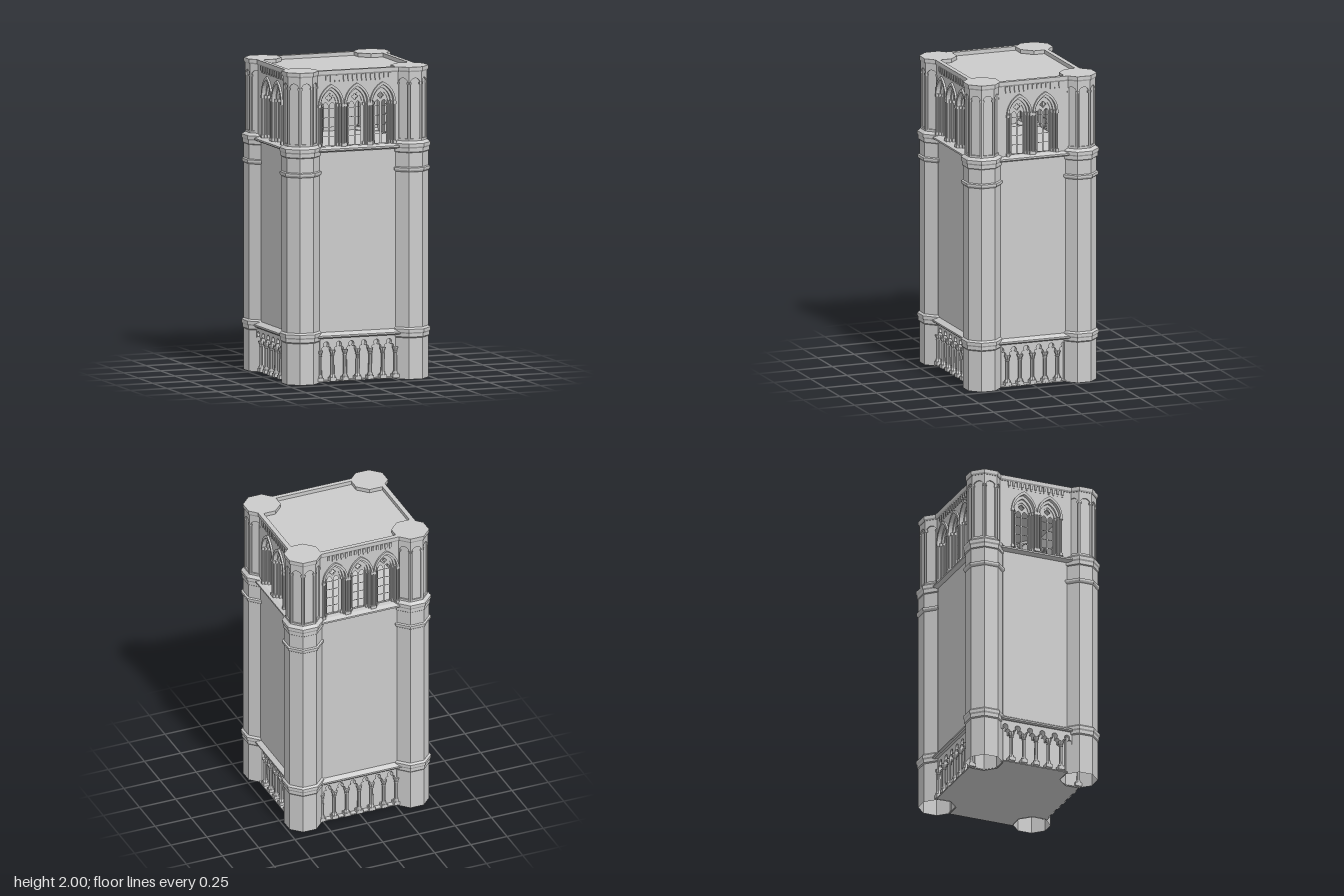
import * as THREE from 'three';

const mat = new THREE.MeshStandardMaterial({ color: 0xcccccc, flatShading: true });
const shellMat = new THREE.MeshStandardMaterial({ color: 0xcccccc, flatShading: true, side: THREE.DoubleSide });

function add(parent, name, geo, x = 0, y = 0, z = 0, m = mat) {
  const mesh = new THREE.Mesh(geo, m);
  mesh.name = name;
  mesh.position.set(x, y, z);
  parent.add(mesh);
  return mesh;
}
const box = (w, h, d) => new THREE.BoxGeometry(w, h, d);
const rod = (r, h) => new THREE.CylinderGeometry(r, r, h, 8);
const lathe = (pts, n) => new THREE.LatheGeometry(pts.map(p => new THREE.Vector2(...p)), n, Math.PI / n);
const poly = pts => new THREE.Shape(pts.map(p => new THREE.Vector2(...p)));
const rect = (w, y0, y1) => poly([[-w, y0], [w, y0], [w, y1], [-w, y1]]);

function plate(shape, z0, z1) {
  const g = new THREE.ExtrudeGeometry(shape, { depth: z1 - z0, bevelEnabled: false, curveSegments: 8 });
  return g.translate(0, 0, z0);
}

// Horizontal slab whose corners are notched around the four turrets
function slab(dx, dz, y0, y1, ix = 0.265, iz = 0.222) {
  const q = [[ix, dz], [ix, 0.282], [0.322, iz], [dx, iz]];
  const r = [...q].reverse();
  const pts = [...q, ...r.map(([x, z]) => [x, -z]), ...q.map(([x, z]) => [-x, -z]), ...r.map(([x, z]) => [-x, z])];
  return plate(poly(pts), 0, y1 - y0).rotateX(-Math.PI / 2).translate(0, y0, 0);
}

// Moulding: (z, y) profile run along x
function strip(profile, length) {
  return plate(poly(profile), -length / 2, length / 2).rotateY(-Math.PI / 2);
}

// Pointed arch points, from lower left over the apex to lower right
function archPoints(cx, w, y0, spring, n = 8) {
  const R = 1.7 * w, end = Math.acos((R - w) / R), right = [];
  for (let i = 0; i <= n; i++) {
    const a = end * i / n;
    right.push([R * Math.cos(a) - (R - w), spring + R * Math.sin(a)]);
  }
  const left = right.map(([x, y]) => [cx - x, y]);
  const back = right.slice(0, -1).reverse().map(([x, y]) => [cx + x, y]);
  return [[cx - w, y0], ...left, ...back, [cx + w, y0]];
}

// Four-lobed opening
function quatrefoil(cy, r) {
  const pts = [];
  for (let i = 0; i < 32; i++) {
    const a = i / 32 * Math.PI * 2, k = r * (0.6 + 0.4 * Math.abs(Math.cos(2 * a)));
    pts.push([k * Math.cos(a), cy + k * Math.sin(a)]);
  }
  return poly(pts);
}

const SILL = 1.51, SPRING = 1.778;

function windowTracery() {
  const s = poly(archPoints(0, 0.049, SILL, SPRING));
  for (const x of [-0.022, 0.022]) s.holes.push(poly(archPoints(x, 0.0165, SILL + 0.003, 1.764)));
  s.holes.push(quatrefoil(1.818, 0.02));
  return s;
}

function buildWindow(parent, x, D) {
  const g = new THREE.Group();
  g.name = 'window';
  g.position.x = x;
  parent.add(g);
  add(g, 'tracery', plate(windowTracery(), D - 0.048, D - 0.036));
  for (const y of [1.57, 1.63, 1.69, 1.75]) add(g, 'windowBar', box(0.09, 0.003, 0.003), 0, y, D - 0.042);
  // raised hood over the arch
  const hood = poly([...archPoints(0, 0.086, SPRING, SPRING), ...archPoints(0, 0.073, SPRING, SPRING).reverse()]);
  add(g, 'hood', plate(hood, D - 0.005, D + 0.012));
  // jamb shafts, stepping inward
  for (const [px, z, r] of [[0.079, D + 0.004, 0.008], [0.067, D - 0.01, 0.006], [0.053, D - 0.025, 0.005]])
    for (const s of [-1, 1]) {
      add(g, 'jambShaft', rod(r, SPRING - SILL), s * px, (SPRING + SILL) / 2, z);
      add(g, 'jambCapital', box(r * 2.5, 0.018, r * 2.5), s * px, SPRING - 0.005, z);
      add(g, 'jambBase', box(r * 2.5, 0.02, r * 2.5), s * px, SILL + 0.01, z);
    }
}

// Base arcade: trefoil arches on small columns, with its face at z
function buildArcade(parent, z, reach) {
  const p = 0.0855;
  const bay = new THREE.Shape();
  bay.moveTo(-p / 2, 0.2);
  bay.lineTo(-0.031, 0.2);
  bay.absarc(-0.017, 0.215, 0.014, Math.PI, Math.PI * 0.35, true);
  bay.absarc(0, 0.243, 0.018, Math.PI * 1.15, -Math.PI * 0.15, true);
  bay.absarc(0.017, 0.215, 0.014, Math.PI * 0.65, 0, true);
  bay.lineTo(0.031, 0.2);
  bay.lineTo(p / 2, 0.2);
  bay.lineTo(p / 2, 0.292);
  bay.lineTo(-p / 2, 0.292);
  for (let i = 0; i < 6; i++) add(parent, 'arcadeArch', plate(bay, z - 0.045, z), (i - 2.5) * p);
  const column = [[0, 0.03], [0.019, 0.03], [0.019, 0.04], [0.012, 0.052], [0.011, 0.17], [0.015, 0.173],
    [0.012, 0.18], [0.02, 0.2], [0.02, 0.207], [0, 0.207]];
  for (let i = -reach; i <= reach; i++) {
    add(parent, 'arcadeColumn', lathe(column, 8), i * p, 0, z - 0.004);
    add(parent, 'arcadePlinth', box(0.042, 0.024, 0.045), i * p, 0.02, z - 0.008);
  }
}

// One side of the building, facing +z; D is the wall distance
function buildSide({ D, half, windows, reach }, shift, arcadeOut) {
  const g = new THREE.Group();
  g.name = 'side';
  buildArcade(g, D + arcadeOut, reach);
  const L = half * 2;
  add(g, 'baseLedge', strip([[D - 0.03, 0.285], [D + 0.02, 0.285], [D + 0.028, 0.293], [D + 0.028, 0.303],
    [D - 0.004, 0.322], [D - 0.03, 0.322]], L));
  add(g, 'sillLedge', strip([[D - 0.03, 1.477], [D + 0.008, 1.477], [D + 0.027, 1.487], [D + 0.027, 1.498],
    [D, 1.51], [D - 0.055, 1.51]], L));
  add(g, 'cornice', strip([[D - 0.02, 1.966], [D + 0.003, 1.966], [D + 0.01, 1.977], [D + 0.01, 2], [D - 0.02, 2]], L));
  // stepped window wall
  const xs = windows.map(x => x + shift);
  for (const [w, z0, z1, top] of [[0.074, D - 0.016, D, 2], [0.06, D - 0.03, D - 0.016, 1.97], [0.046, D - 0.055, D - 0.03, 1.95]]) {
    const s = rect(half, 1.5, top);
    for (const x of xs) s.holes.push(poly(archPoints(x, w, SILL, SPRING)));
    add(g, 'belfryWall', plate(s, z0, z1));
  }
  for (const x of xs) buildWindow(g, x, D);
  // corbel frieze under the cornice
  const n = Math.floor((half - 0.05) / 0.0305);
  for (let i = -n; i <= n; i++) {
    add(g, 'corbel', box(0.015, 0.03, 0.012), i * 0.0305, 1.952, D + 0.002);
    add(g, 'corbelTip', box(0.009, 0.014, 0.008), i * 0.0305, 1.931, D + 0.001);
  }
  return g;
}

// Octagonal corner turret; radii given as flat-to-centre distances
function buildTurret() {
  const g = new THREE.Group();
  g.name = 'turret';
  const profile = [[0.111, 0], [0.111, 0.265], [0.117, 0.272], [0.117, 0.293], [0.123, 0.303], [0.123, 0.322],
    [0.111, 0.333], [0.111, 1.328], [0.118, 1.334], [0.122, 1.342], [0.122, 1.355], [0.111, 1.36],
    [0.111, 1.452], [0.117, 1.457], [0.117, 1.48], [0.123, 1.49], [0.123, 1.51], [0.107, 1.524],
    [0.094, 1.53], [0.094, 1.968], [0.106, 1.968], [0.111, 1.978], [0.111, 2], [0, 2]];
  const k = 1 / Math.cos(Math.PI / 8);
  add(g, 'turretShaft', lathe(profile.map(([r, y]) => [r * k, y]), 8), 0, 0, 0, shellMat);
  // blind arched panel on each face
  const frame = rect(0.0427, 1.524, 1.97);
  const hole = new THREE.Path();
  hole.moveTo(-0.033, 1.54);
  hole.lineTo(0.033, 1.54);
  hole.absarc(0, 1.895, 0.033, 0, Math.PI, false);
  frame.holes.push(hole);
  for (let i = 0; i < 8; i++) {
    const face = new THREE.Group();
    face.name = 'turretPanel';
    face.rotation.y = i * Math.PI / 4;
    add(face, 'panelFrame', plate(frame, 0.092, 0.103));
    for (const s of [-1, 1]) {
      add(face, 'panelShaft', rod(0.004, 0.36), s * 0.032, 1.715, 0.101);
      add(face, 'panelCapital', box(0.012, 0.012, 0.01), s * 0.032, 1.895, 0.101);
    }
    g.add(face);
  }
  return g;
}

export function createModel() {
  const model = new THREE.Group();
  model.name = 'bellTower';
  const DX = 0.43, DZ = 0.375;

  // solid body, belfry floor and roof
  add(model, 'baseCore', slab(DX - 0.035, DZ - 0.03, 0.008, 0.3));
  add(model, 'baseSlab', slab(DX + 0.005, DZ + 0.005, 0.005, 0.012));
  add(model, 'mainBody', slab(DX - 0.005, DZ - 0.004, 0.3, 1.505));
  add(model, 'roof', slab(DX - 0.015, DZ - 0.015, 1.945, 1.975, 0.28, 0.24), -0.004);

  // four sides: three windows front and back, two on the flanks
  const wide = { D: DZ, half: 0.282, windows: [-0.176, 0, 0.176], reach: 3 };
  const narrow = { D: DX, half: 0.245, windows: [-0.089, 0.089], reach: 2 };
  const arcadeOut = [0, -0.008, 0, 0.012];
  for (let i = 0; i < 4; i++) {
    const side = buildSide(i % 2 ? narrow : wide, i < 2 ? -0.007 : 0.007, arcadeOut[i]);
    side.rotation.y = i * Math.PI / 2;
    if (i % 2) side.position.x = -0.004;
    else side.position.z = 0.002;
    model.add(side);
  }

  // corner turrets
  for (const sx of [-1, 1]) for (const sz of [-1, 1]) {
    const t = buildTurret();
    t.position.set(sx * 0.371, 0, sz * 0.328);
    model.add(t);
  }
  return model;
}
